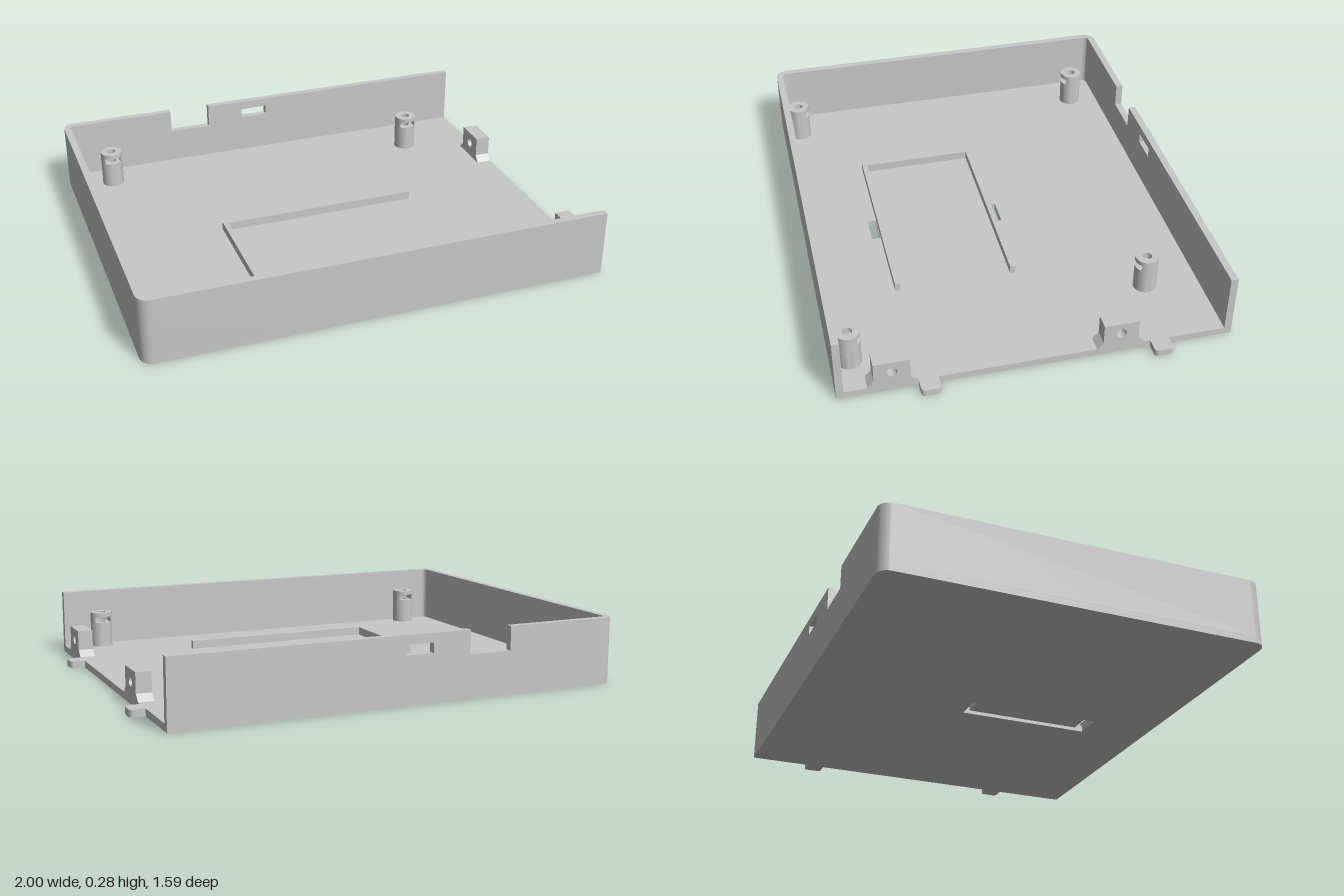
import * as THREE from 'three';
import { toCreasedNormals } from 'three/addons/utils/BufferGeometryUtils.js';

const plastic = new THREE.MeshStandardMaterial({ color: 0xc8c8c8 });
plastic.name = 'grey plastic';

const OPEN_X = 0.938; // open end of the tray
const HALF_Z = 0.796;
const WALL = 0.03;
const FLOOR = 0.03;
const HEIGHT = 0.28;

function polygon(points, Type = THREE.Shape) {
  return new Type(points.map(([x, y]) => new THREE.Vector2(x, y)));
}
function rect(x0, x1, y0, y1, Type = THREE.Shape) {
  return polygon([[x0, y0], [x1, y0], [x1, y1], [x0, y1]], Type);
}
function extrude(shape, depth) {
  return new THREE.ExtrudeGeometry(shape, { depth, bevelEnabled: false, curveSegments: 16 });
}
// Extrude a plan drawn in (x, z) between two heights
function slab(shape, y0, y1) {
  return extrude(shape, y1 - y0).rotateX(Math.PI / 2).translate(0, y1, 0);
}

export function createModel() {
  const group = new THREE.Group();
  const add = (name, geometry, parent = group) => {
    const mesh = new THREE.Mesh(toCreasedNormals(geometry, 0.5), plastic);
    mesh.name = name;
    parent.add(mesh);
  };

  // Floor in two layers: a strap groove below, with a through slot at each end
  const floorShape = () => {
    const r = 0.05, s = new THREE.Shape();
    s.moveTo(OPEN_X, -HALF_Z);
    s.lineTo(OPEN_X, HALF_Z);
    s.lineTo(-1 + r, HALF_Z);
    s.absarc(-1 + r, HALF_Z - r, r, Math.PI / 2, Math.PI, false);
    s.absarc(-1 + r, -HALF_Z + r, r, Math.PI, Math.PI * 1.5, false);
    s.closePath();
    return s;
  };
  const lower = floorShape();
  lower.holes.push(rect(-0.063, 0.062, -0.065, 0.513, THREE.Path));
  add('floorUnderside', slab(lower, 0, 0.015));
  const upper = floorShape();
  for (const [z0, z1] of [[-0.065, -0.037], [0.477, 0.513]]) {
    upper.holes.push(rect(-0.063, 0.062, z0, z1, THREE.Path));
  }
  add('floorTop', slab(upper, 0.015, FLOOR));

  // Front and end walls with rounded corners, stopping just past the back corner
  const R = 0.05, r = R - WALL, cx = -1 + R, cz = HALF_Z - R, backX = -0.9;
  const walls = new THREE.Shape();
  walls.moveTo(OPEN_X, HALF_Z);
  walls.lineTo(cx, HALF_Z);
  walls.absarc(cx, cz, R, Math.PI / 2, Math.PI, false);
  walls.absarc(cx, -cz, R, Math.PI, Math.PI * 1.5, false);
  walls.lineTo(backX, -HALF_Z);
  walls.lineTo(backX, -HALF_Z + WALL);
  walls.lineTo(cx, -HALF_Z + WALL);
  walls.absarc(cx, -cz, r, Math.PI * 1.5, Math.PI, true);
  walls.absarc(cx, cz, r, Math.PI, Math.PI / 2, true);
  walls.lineTo(OPEN_X, HALF_Z - WALL);
  walls.closePath();
  add('frontAndEndWalls', slab(walls, FLOOR, HEIGHT));

  // Back wall with a cable notch in its rim and a small window
  const back = polygon([
    [backX, FLOOR], [OPEN_X, FLOOR], [OPEN_X, HEIGHT], [-0.31, HEIGHT],
    [-0.31, 0.18], [-0.495, 0.18], [-0.495, HEIGHT], [backX, HEIGHT],
  ]);
  back.holes.push(rect(-0.145, -0.025, 0.2, 0.242, THREE.Path));
  add('backWall', extrude(back, WALL).translate(0, 0, -HALF_Z));

  // Low U-shaped fence around the battery bay
  const t = 0.022, z0 = -0.037, z1 = 0.475;
  const fence = polygon([
    [0.418, z0], [0.418, z0 + t], [-0.455 + t, z0 + t], [-0.455 + t, z1 - t],
    [0.418, z1 - t], [0.418, z1], [-0.455, z1], [-0.455, z0],
  ]);
  add('batteryFence', slab(fence, FLOOR, 0.066));

  // Screw posts with a nut slot that opens towards the middle
  const postR = 0.048, slotHalf = 0.035, holeR = 0.02;
  const ring = () => {
    const s = new THREE.Shape().absarc(0, 0, postR, 0, Math.PI * 2, false);
    s.holes.push(new THREE.Path().absarc(0, 0, holeR, 0, Math.PI * 2, false));
    return s;
  };
  const slotted = () => {
    const a = Math.acos(slotHalf / postR), s = new THREE.Shape();
    s.absarc(0, 0, postR, Math.PI - a, Math.PI * 2 + a, false);
    s.lineTo(slotHalf, -0.02);
    s.lineTo(0, -0.04);
    s.lineTo(-slotHalf, -0.02);
    s.closePath();
    return s;
  };
  for (const [x, z] of [[-0.813, -0.636], [0.618, -0.54], [-0.813, 0.719], [0.777, 0.719]]) {
    const post = new THREE.Group();
    post.name = 'screwPost';
    add('postBase', slab(ring(), FLOOR, 0.142), post);
    add('postNutSlot', slab(slotted(), 0.142, 0.168), post);
    add('postTop', slab(ring(), 0.168, 0.187), post);
    post.position.set(x, 0, z);
    if (z > 0) post.rotation.y = Math.PI;
    group.add(post);
  }

  // At the open end: two lugs with splayed feet and teardrop holes, each beside a tab
  for (const [lugZ, tabZ] of [[0.578, 0.438], [-0.332, -0.494]]) {
    const lug = polygon([
      [-0.097, FLOOR], [0.101, FLOOR], [0.072, 0.058], [0.072, 0.143],
      [-0.072, 0.143], [-0.072, 0.058],
    ]);
    const hole = new THREE.Path();
    hole.absarc(0, 0.093, 0.021, Math.PI * 0.75, Math.PI * 2.25, false);
    hole.lineTo(0, 0.093 + 0.03);
    hole.closePath();
    lug.holes.push(hole);
    add('screwLug', extrude(lug, 0.065).rotateY(Math.PI / 2).translate(OPEN_X - 0.065, 0, lugZ));

    const w = 0.039, c = 0.015, tab = new THREE.Shape();
    tab.moveTo(OPEN_X, tabZ - w);
    tab.lineTo(1 - c, tabZ - w);
    tab.absarc(1 - c, tabZ - w + c, c, -Math.PI / 2, 0, false);
    tab.absarc(1 - c, tabZ + w - c, c, 0, Math.PI / 2, false);
    tab.lineTo(OPEN_X, tabZ + w);
    tab.closePath();
    add('latchTab', slab(tab, 0, FLOOR));
  }

  return group;
}
